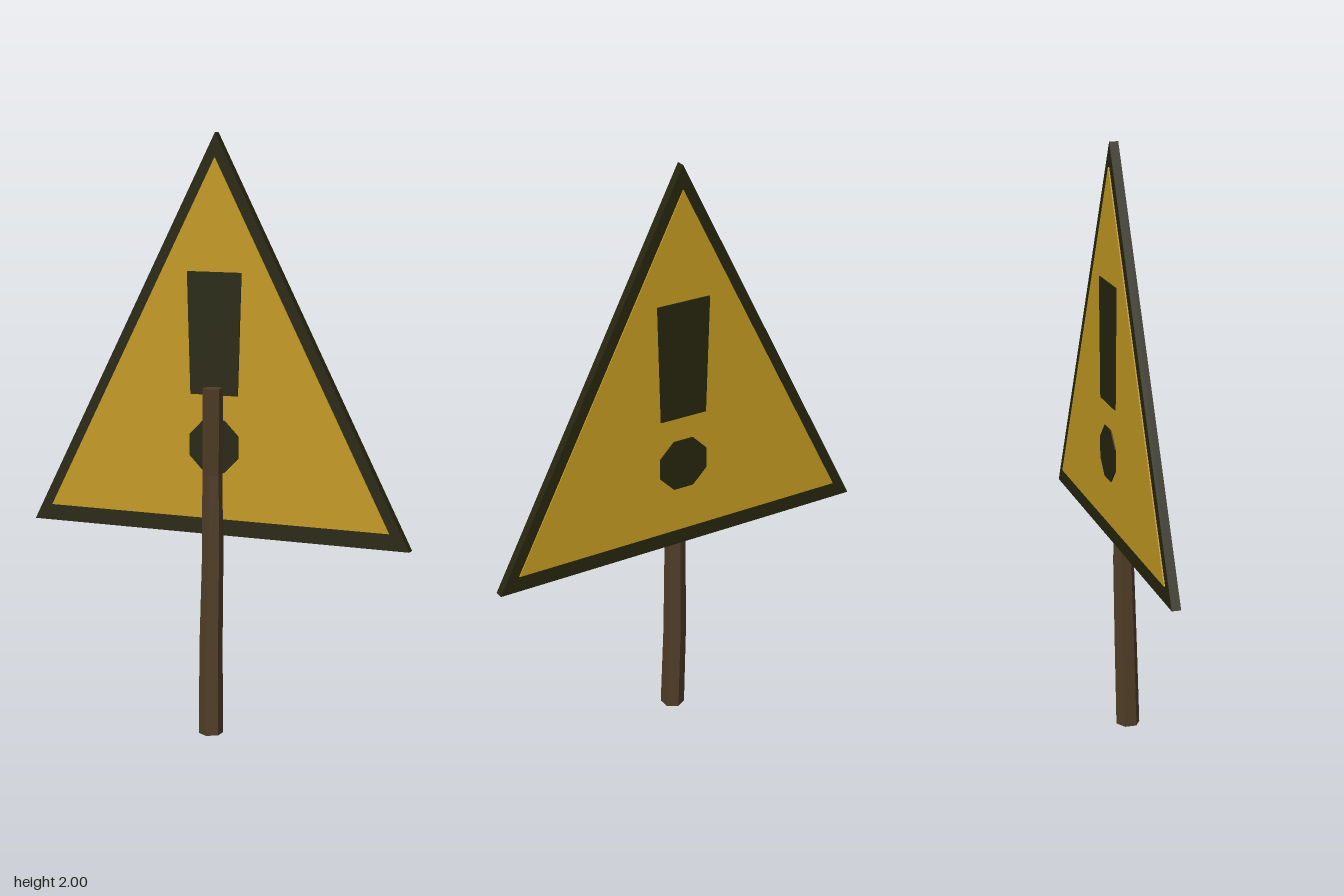
import * as THREE from 'three';

const mat = (name, color) => {
  const m = new THREE.MeshStandardMaterial({ color, flatShading: true });
  m.name = name;
  return m;
};

export function createModel() {
  const yellow = mat('signYellow', 0xc49b22);
  const black = mat('signBlack', 0x27260f);
  const wood = mat('darkWood', 0x503e27);
  const group = new THREE.Group();
  group.name = 'warningSign';

  const add = (name, geometry, material, z = 0) => {
    const mesh = new THREE.Mesh(geometry, material);
    mesh.name = name;
    mesh.position.z = z;
    group.add(mesh);
  };
  // Flat slab from an outline, starting at z = 0
  const slab = (points, depth) => new THREE.ExtrudeGeometry(
    new THREE.Shape(points.map(([x, y]) => new THREE.Vector2(x, y))),
    { depth, bevelEnabled: false });

  // Triangular board
  const back = -0.048, front = -0.018, plate = 0.004;
  add('board', slab([[-0.68, 0.675], [0.68, 0.675], [0, 2]], front - back), black, back);

  // Painted face, exclamation bar and dot on both sides
  const face = [[-0.612, 0.73], [0.612, 0.73], [0, 1.92]];
  const bar = [[-0.085, 1.145], [0.085, 1.145], [0.097, 1.55], [-0.097, 1.55]];
  const dot = Array.from({ length: 8 }, (_, i) => {
    const a = (i + 0.5) * Math.PI / 4;
    return [0.095 * Math.cos(a), 0.975 + 0.095 * Math.sin(a)];
  });
  for (const [side, faceZ, markZ] of [
    ['front', front, front + plate],
    ['back', back - plate, back - 2 * plate],
  ]) {
    add(side + 'Face', slab(face, plate), yellow, faceZ);
    add(side + 'Bar', slab(bar, plate), black, markZ);
    add(side + 'Dot', slab(dot, plate), black, markZ);
  }

  // Crooked six-sided post: each ring is [y, x, z, radius]
  const rings = [
    [0, 0.001, 0.015, 0.041],
    [0.3, -0.003, 0.006, 0.039],
    [0.6, 0, -0.001, 0.036],
    [0.88, 0.001, 0.002, 0.034],
    [1.173, 0.012, 0.024, 0.034],
  ];
  const post = new THREE.CylinderGeometry(1, 1, 4, 6, 4);
  const p = post.attributes.position;
  for (let i = 0; i < p.count; i++) {
    const [y, x, z, r] = rings[Math.round(p.getY(i) + 2)];
    p.setXYZ(i, x + p.getX(i) * r, y, z + p.getZ(i) * r);
  }
  post.computeVertexNormals();
  add('post', post, wood);

  return group;
}
